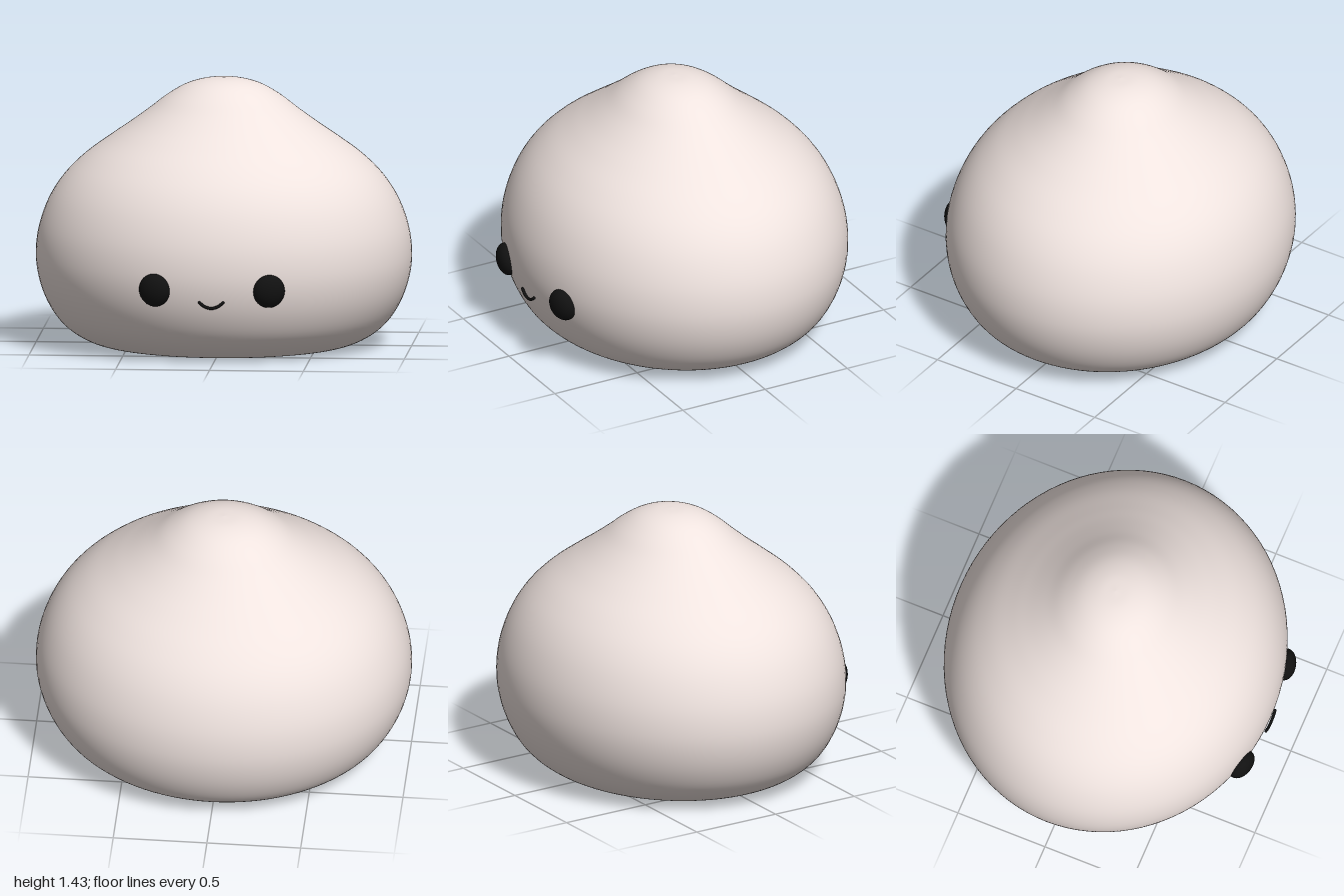
import * as THREE from 'three';

const DEPTH = 0.898; // body is slightly shallower than wide
const BODY_Z = -0.007;

export function createModel() {
  const model = new THREE.Group();
  model.name = 'dumplingCreature';
  const skin = new THREE.MeshStandardMaterial({ color: 0xefe3df });
  const black = new THREE.MeshStandardMaterial({ color: 0x111111 });

  // Body: soft drop profile with a flat base, squashed front to back
  const profile = [
    [0, 0], [0.3, 0], [0.6, 0], [0.7, 0.018], [0.8, 0.068], [0.88, 0.14], [0.945, 0.245],
    [0.985, 0.36], [1, 0.48], [0.985, 0.625], [0.93, 0.78], [0.85, 0.905], [0.74, 1.015],
    [0.6, 1.118], [0.5, 1.187], [0.4, 1.26], [0.3, 1.337], [0.2, 1.394], [0.1, 1.423], [0, 1.43],
  ].map(([r, y]) => new THREE.Vector3(r, y, 0));
  const outline = new THREE.CatmullRomCurve3(profile).getPoints(90)
    .map((p) => new THREE.Vector2(Math.max(p.x, 0), Math.max(p.y, 0)));
  const body = new THREE.Mesh(new THREE.LatheGeometry(outline, 96), skin);
  body.name = 'body';
  body.scale.z = DEPTH;
  body.position.z = BODY_Z;
  model.add(body);

  // Eyes: flattened domes lying along the surface
  for (const side of [-1, 1]) {
    const eye = new THREE.Mesh(new THREE.SphereGeometry(1, 40, 28), black);
    eye.name = side > 0 ? 'leftEye' : 'rightEye';
    eye.scale.set(0.085, 0.089, 0.056);
    eye.position.set(side * 0.305, 0.405, 0.843);
    eye.rotation.set(0.14, side * 0.28, 0, 'YXZ');
    model.add(eye);
  }

  // Mouth: small smile with rounded ends, following the curve of the body
  const smile = new THREE.CatmullRomCurve3([
    [-0.063, 0.346, 0.883], [-0.035, 0.325, 0.884], [0, 0.316, 0.884],
    [0.035, 0.325, 0.884], [0.063, 0.346, 0.883],
  ].map((p) => new THREE.Vector3(...p)));
  const mouth = new THREE.Group();
  mouth.name = 'mouth';
  mouth.add(new THREE.Mesh(new THREE.TubeGeometry(smile, 32, 0.008, 10), black));
  for (const t of [0, 1]) {
    const end = new THREE.Mesh(new THREE.SphereGeometry(0.008, 12, 8), black);
    end.position.copy(smile.getPoint(t));
    mouth.add(end);
  }
  model.add(mouth);

  return model;
}
